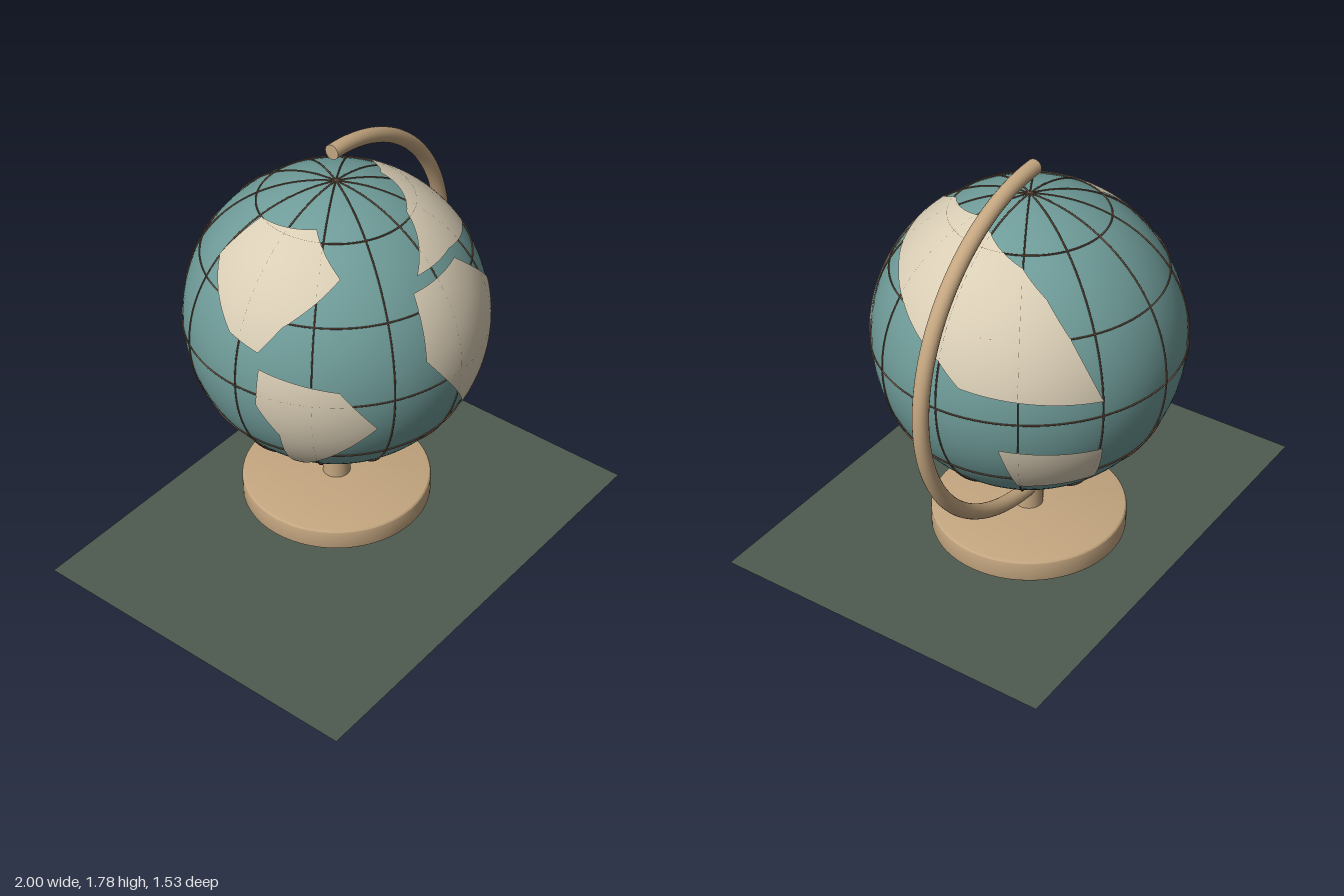
import * as THREE from 'three';
import { toCreasedNormals } from 'three/addons/utils/BufferGeometryUtils.js';

const material = (name, color, extra = {}) => {
  const m = new THREE.MeshStandardMaterial({ color, ...extra });
  m.name = name;
  return m;
};

const CENTRE = new THREE.Vector3(0.117, 1.0, -0.133);
const OCEAN_R = 0.627, LINE_R = 0.631, LAND_R = 0.634;

// Outlines as [latitude, longitude] in degrees; longitude 0 faces the front
const LANDS = {
  southernLand: [[37, -15.5], [38.5, 17], [11.5, 42.5], [-35, 30], [-26, 11.5], [12, -17]],
  easternLand: [[42, -10], [42, 18], [36, 47], [30, 64], [18, 90], [11, 99], [6, 150],
    [30, 140], [44, 132], [55, 120], [66, 90], [71, 70], [62, 16]],
  islandLand: [[-12, 113], [-37, 119], [-36, 153.5], [-15.5, 151]],
  southwestLand: [[11, -80], [6.3, -50], [-12, -36], [-51, -74], [-18, -73], [-5, -81]],
  northwestLand: [[40, -120], [60, -117], [65, -67], [47, -49], [28, -73], [17, -81], [20, -95]],
};

const onSphere = (lon, lat, r) => {
  const a = THREE.MathUtils.degToRad(lon), b = THREE.MathUtils.degToRad(lat);
  return new THREE.Vector3(Math.cos(b) * Math.sin(a), Math.sin(b), Math.cos(b) * Math.cos(a)).multiplyScalar(r);
};

// Triangulate an outline flat, split the triangles finely, then wrap them on the sphere
function landGeometry(outline) {
  let pts = outline.map(([lat, lon]) => new THREE.Vector2(lon, lat));
  if (THREE.ShapeUtils.isClockWise(pts)) pts = pts.reverse();
  const positions = [], normals = [];
  const split = (a, b, c, level) => {
    if (level === 0) {
      for (const p of [a, b, c]) {
        positions.push(...onSphere(p.x, p.y, LAND_R).toArray());
        normals.push(...onSphere(p.x, p.y, 1).toArray());
      }
      return;
    }
    const mid = (p, q) => p.clone().add(q).multiplyScalar(0.5);
    const ab = mid(a, b), bc = mid(b, c), ca = mid(c, a);
    split(a, ab, ca, level - 1);
    split(ab, b, bc, level - 1);
    split(ca, bc, c, level - 1);
    split(ab, bc, ca, level - 1);
  };
  for (const [i, j, k] of THREE.ShapeUtils.triangulateShape(pts, [])) split(pts[i], pts[j], pts[k], 5);
  const g = new THREE.BufferGeometry();
  g.setAttribute('position', new THREE.Float32BufferAttribute(positions, 3));
  g.setAttribute('normal', new THREE.Float32BufferAttribute(normals, 3));
  return g;
}

export function createModel() {
  const root = new THREE.Group();
  root.name = 'deskGlobe';
  const ocean = material('ocean teal', 0x6f9c99);
  const land = material('land cream', 0xd9cdb5, { side: THREE.DoubleSide });
  const wood = material('light wood', 0xc4a680);
  const lines = material('grid line brown', 0x6e5443);
  const matGreen = material('mat green', 0x4e5b50, { side: THREE.DoubleSide });

  const add = (parent, name, geometry, mat, x = 0, y = 0, z = 0) => {
    const mesh = new THREE.Mesh(geometry, mat);
    mesh.name = name;
    mesh.position.set(x, y, z);
    parent.add(mesh);
    return mesh;
  };

  // Flat mat
  add(root, 'mat', new THREE.PlaneGeometry(2, 1.524).rotateX(-Math.PI / 2), matGreen);

  // Round foot with softened rims
  const r = 0.41, b = 0.014, y0 = 0.052, y1 = 0.152;
  const profile = [new THREE.Vector2(0, y0)];
  for (let i = 0; i <= 3; i++) {
    const a = (i / 3) * Math.PI / 2;
    profile.push(new THREE.Vector2(r - b + b * Math.sin(a), y0 + b - b * Math.cos(a)));
  }
  for (let i = 0; i <= 3; i++) {
    const a = (i / 3) * Math.PI / 2;
    profile.push(new THREE.Vector2(r - b + b * Math.cos(a), y1 - b + b * Math.sin(a)));
  }
  profile.push(new THREE.Vector2(0, y1));
  add(root, 'foot', toCreasedNormals(new THREE.LatheGeometry(profile, 64), 0.4), wood, CENTRE.x, 0, CENTRE.z);

  // Stem
  add(root, 'stem', new THREE.CylinderGeometry(0.06, 0.06, 0.25, 32), wood, CENTRE.x, 0.27, CENTRE.z);

  // Half-ring arm with end caps
  const arm = new THREE.Group();
  arm.name = 'arm';
  arm.position.set(CENTRE.x, CENTRE.y, -0.154);
  root.add(arm);
  const armR = 0.752, tube = 0.032;
  add(arm, 'armRing', new THREE.TorusGeometry(armR, tube, 20, 80, Math.PI).rotateZ(-Math.PI / 2), wood);
  for (const s of [1, -1]) {
    add(arm, 'armEnd', new THREE.CircleGeometry(tube, 20).rotateY(-Math.PI / 2), wood, 0, s * armR, 0);
  }

  // Globe
  const globe = new THREE.Group();
  globe.name = 'globe';
  globe.position.copy(CENTRE);
  root.add(globe);
  add(globe, 'ocean', new THREE.SphereGeometry(OCEAN_R, 96, 64), ocean);
  for (const [name, outline] of Object.entries(LANDS)) add(globe, name, landGeometry(outline), land);

  // Grid lines: six full meridian rings and five parallels
  const thin = 0.0033;
  for (let i = 0; i < 6; i++) {
    add(globe, 'meridian', new THREE.TorusGeometry(LINE_R, thin, 6, 96).rotateY(i * Math.PI / 6), lines);
  }
  for (const lat of [-60, -30, 0, 30, 60]) {
    const a = THREE.MathUtils.degToRad(lat);
    add(globe, 'parallel', new THREE.TorusGeometry(LINE_R * Math.cos(a), thin, 6, 96).rotateX(Math.PI / 2),
      lines, 0, LINE_R * Math.sin(a), 0);
  }
  return root;
}
